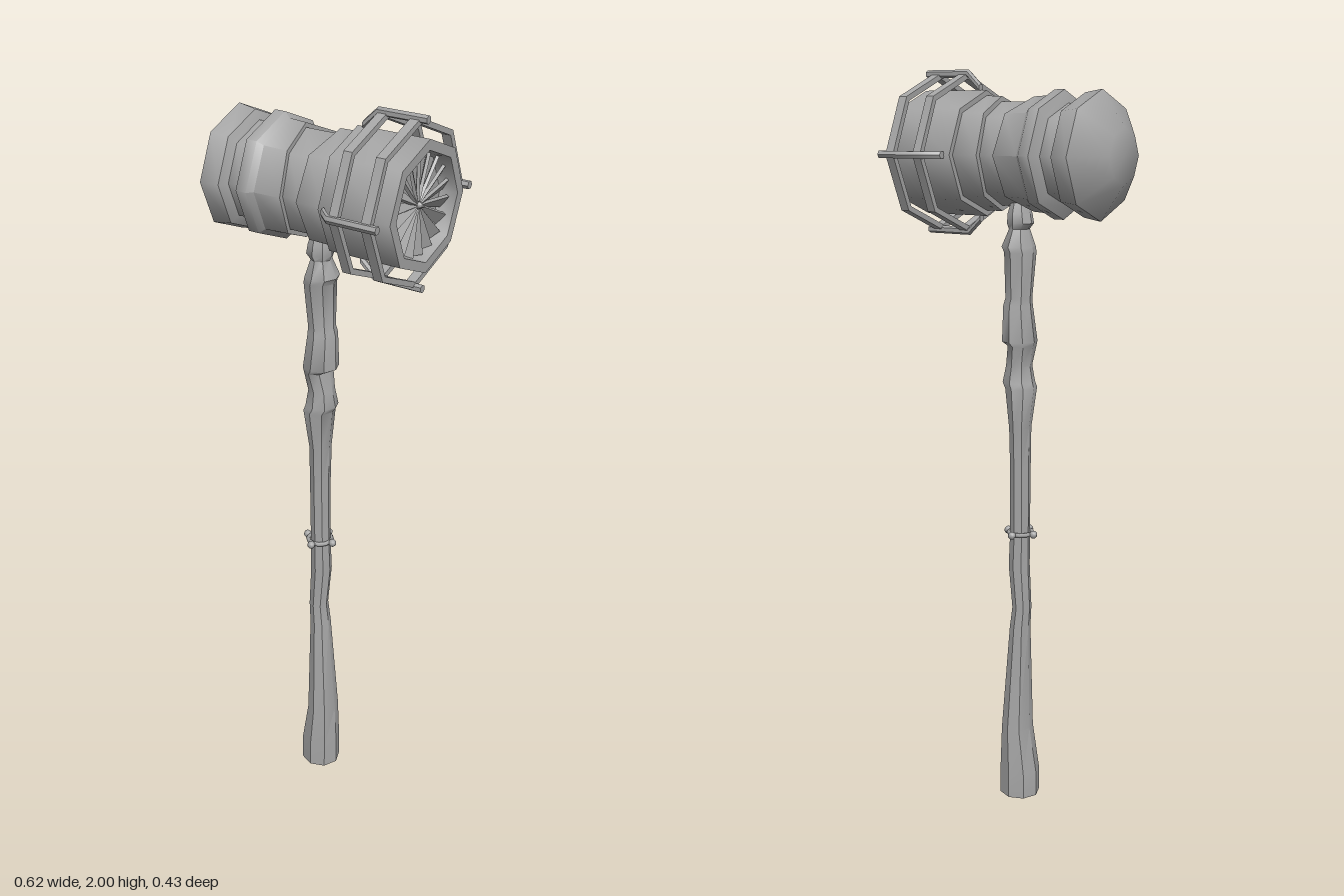
import * as THREE from 'three';
import { toCreasedNormals } from 'three/addons/utils/BufferGeometryUtils.js';

const HEAD_Y = 1.79;
const steel = new THREE.MeshStandardMaterial({ color: 0xa6a6a6 });
steel.name = 'steel grey';

// Skin a list of rings (arrays of Vector3), optionally closing both ends
function loft(rings, crease = 0.6, capStart = true, capEnd = true) {
  const out = [];
  const tri = (a, b, c) => out.push(...a.toArray(), ...b.toArray(), ...c.toArray());
  const n = rings[0].length;
  for (let k = 0; k < rings.length - 1; k++) {
    const p = rings[k], q = rings[k + 1];
    for (let i = 0; i < n; i++) {
      const j = (i + 1) % n;
      tri(p[i], p[j], q[j]);
      tri(p[i], q[j], q[i]);
    }
  }
  const middle = (ring) => ring.reduce((s, v) => s.add(v), new THREE.Vector3()).divideScalar(n);
  const first = rings[0], last = rings[rings.length - 1];
  const c0 = middle(first), c1 = middle(last);
  for (let i = 0; i < n; i++) {
    const j = (i + 1) % n;
    if (capStart) tri(c0, first[j], first[i]);
    if (capEnd) tri(c1, last[i], last[j]);
  }
  const g = new THREE.BufferGeometry();
  g.setAttribute('position', new THREE.Float32BufferAttribute(out, 3));
  return toCreasedNormals(g, crease);
}

// Ring around the head axis; "notch" pulls the x of the ring along its sides
function headRing(x, r, notch = 0, sides = 8, cy = 0, cz = 0) {
  return Array.from({ length: sides }, (_, i) => {
    const a = (i / sides) * Math.PI * 2;
    return new THREE.Vector3(x + notch * Math.abs(Math.sin(a)), cy + r * Math.cos(a), cz + r * Math.sin(a));
  });
}

// Ring around the handle axis, from left/right x limits and z half depth
function handleRing([y, x0, x1, d]) {
  return Array.from({ length: 8 }, (_, i) => {
    const a = (i / 8) * Math.PI * 2;
    return new THREE.Vector3((x0 + x1) / 2 + ((x1 - x0) / 2) * Math.sin(a), y, d * Math.cos(a));
  });
}

function part(parent, name, geometry) {
  const mesh = new THREE.Mesh(geometry, steel);
  mesh.name = name;
  parent.add(mesh);
  return mesh;
}

export function createModel() {
  const model = new THREE.Group();
  model.name = 'warHammer';

  // Handle: flared pommel, slim shaft, stepped grip segments
  const handle = [
    [0, -0.053, 0.06, 0.055], [0.07, -0.053, 0.06, 0.055], [0.2, -0.03, 0.053, 0.049],
    [0.5, -0.026, 0.03, 0.031], [0.56, -0.03, 0.022, 0.028], [0.68, -0.024, 0.034, 0.03],
    [0.77, -0.025, 0.03, 0.028], [0.95, -0.026, 0.028, 0.03], [1.07, -0.027, 0.03, 0.033],
    [1.18, -0.043, 0.04, 0.046], [1.195, -0.038, 0.05, 0.044], [1.24, -0.03, 0.04, 0.036],
    [1.295, -0.04, 0.03, 0.045], [1.305, -0.044, 0.05, 0.049], [1.4, -0.031, 0.048, 0.04],
    [1.42, -0.03, 0.042, 0.036], [1.54, -0.04, 0.042, 0.046], [1.555, -0.037, 0.05, 0.048],
    [1.6, -0.022, 0.03, 0.03], [1.615, -0.035, 0.036, 0.036], [1.64, -0.03, 0.034, 0.034],
    [1.67, -0.02, 0.025, 0.025],
  ];
  part(model, 'handle', loft(handle.map(handleRing), 0.7));

  // Small studded band round the shaft
  const band = new THREE.TorusGeometry(0.033, 0.006, 6, 12);
  band.rotateX(Math.PI / 2);
  part(model, 'shaftBand', band).position.y = 0.775;
  for (let i = 0; i < 4; i++) {
    const a = (i * Math.PI) / 2;
    const stud = part(model, 'shaftStud', new THREE.SphereGeometry(0.011, 8, 6));
    stud.position.set(0.042 * Math.cos(a), 0.775, 0.042 * Math.sin(a));
  }

  const head = new THREE.Group();
  head.name = 'head';
  head.position.y = HEAD_Y;
  model.add(head);

  // Head body: blunt dome, groove, band, notched collars and hollow striking face
  const body = [
    [-0.31, 0.07], [-0.245, 0.161], [-0.195, 0.153], [-0.183, 0.128], [-0.146, 0.128],
    [-0.134, 0.161], [-0.104, 0.161], [-0.09, 0.147], [-0.041, 0.144, 0.026], [-0.041, 0.132, 0.026],
    [0.059, 0.132, -0.025], [0.059, 0.146, -0.025], [0.108, 0.147], [0.108, 0.161],
    [0.307, 0.161], [0.307, 0.135], [0.262, 0.127],
  ];
  part(head, 'headBody', loft(body.map(([x, r, n]) => headRing(x, r, n)), 0.8));

  // Radial blades set into the hollow face
  const blades = new THREE.Group();
  blades.name = 'faceBlades';
  blades.position.x = 0.278;
  head.add(blades);
  const blade = new THREE.BoxGeometry(0.008, 0.112, 0.034);
  blade.translate(0, 0.066, 0);
  const p = blade.attributes.position;
  for (let i = 0; i < p.count; i++) p.setZ(i, p.getZ(i) * (0.2 + 6.5 * p.getY(i)));
  blade.rotateY(0.6);
  for (let i = 0; i < 18; i++) part(blades, 'blade', blade).rotation.x = (i / 18) * Math.PI * 2;
  const hub = new THREE.ConeGeometry(0.02, 0.04, 8);
  hub.rotateZ(-Math.PI / 2);
  part(head, 'faceHub', hub).position.x = 0.28;

  // Cage: two octagonal hoops carried by four bent rails
  for (const [x0, x1] of [[0.168, 0.192], [0.256, 0.281]]) {
    const hoop = [[x0, 0.205], [x1, 0.205], [x1, 0.19], [x0, 0.19], [x0, 0.205]];
    part(head, 'cageHoop', loft(hoop.map(([x, r]) => headRing(x, r)), 0.5, false, false));
  }
  const railPath = [[0.126, 0.167], [0.165, 0.203], [0.301, 0.203]];
  const rail = loft(railPath.map(([x, r]) => headRing(x, 0.0105, 0, 6, r)), 0.7);
  for (let i = 0; i < 4; i++) part(head, 'cageRail', rail).rotation.x = (i * Math.PI) / 2;

  return model;
}
